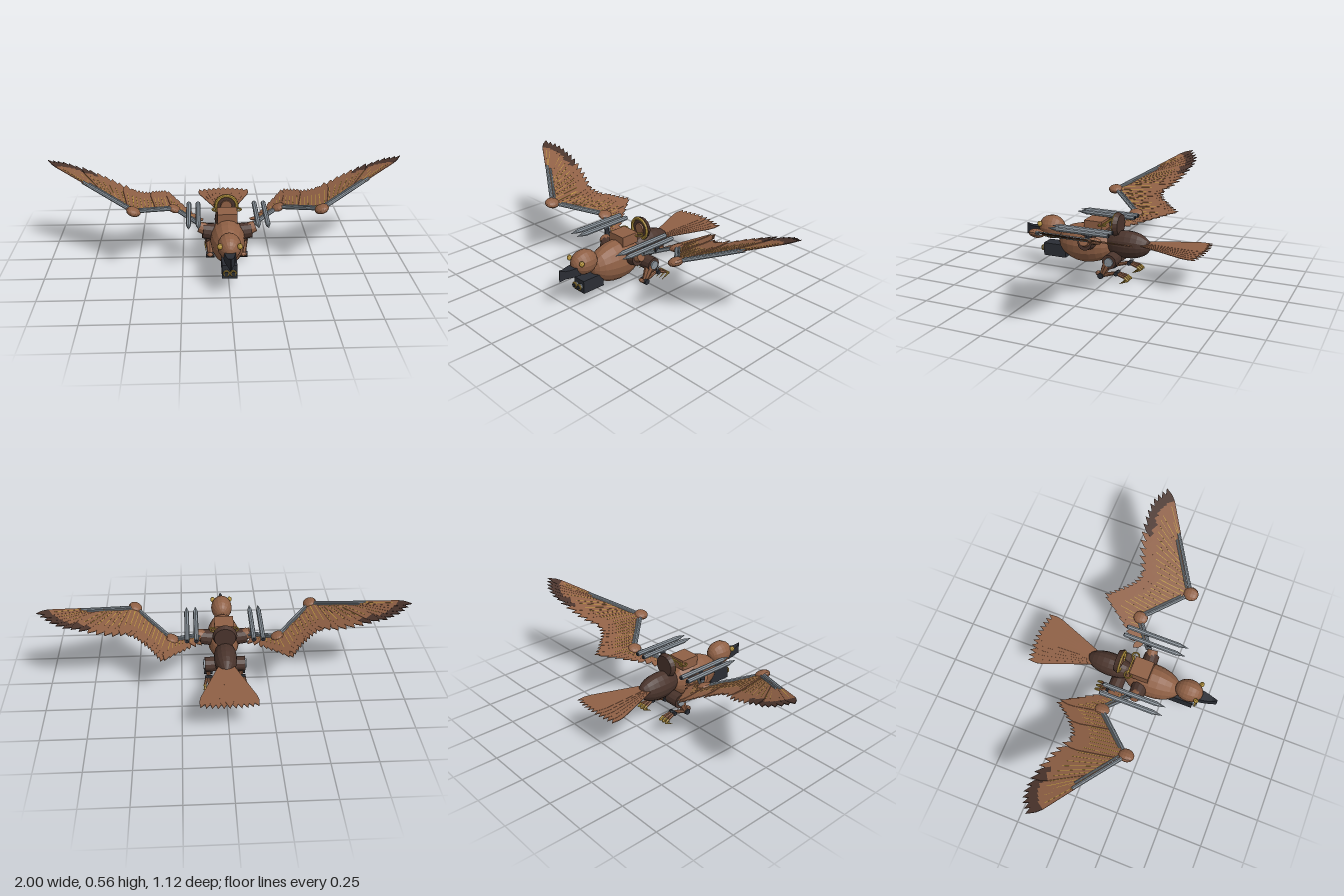
import * as THREE from 'three';

const mat = (name, color, double) => {
  const m = new THREE.MeshStandardMaterial({ color, flatShading: true });
  m.name = name;
  if (double) m.side = THREE.DoubleSide;
  return m;
};
const brown = mat('brown', 0x8f6045);
const dark = mat('dark brown', 0x4a342c);
const black = mat('gunmetal', 0x2a2d34);
const steel = mat('steel', 0x8b949c);
const gold = mat('brass', 0xb8963e);
const V = (x, y, z) => new THREE.Vector3(x, y, z);

function add(parent, name, geo, material, x = 0, y = 0, z = 0) {
  const m = new THREE.Mesh(geo, material);
  m.name = name;
  m.position.set(x, y, z);
  parent.add(m);
  return m;
}

// Faceted ellipsoid with its poles along z
function blob(parent, name, material, p, r, w = 16, h = 12) {
  const g = new THREE.SphereGeometry(1, w, h).rotateX(Math.PI / 2).scale(...r);
  return add(parent, name, g, material, ...p);
}

// Tapered rod from a to b
function rod(parent, name, material, a, b, ra, rb = ra, sides = 8) {
  const d = b.clone().sub(a);
  const m = add(parent, name, new THREE.CylinderGeometry(rb, ra, d.length(), sides), material);
  m.position.copy(a).addScaledVector(d, 0.5);
  m.quaternion.setFromUnitVectors(V(0, 1, 0), d.normalize());
  return m;
}

// Flat feather plate lying in the xz plane, pointing to -z
function plate(points, depth) {
  const g = new THREE.ExtrudeGeometry(new THREE.Shape(points.map(([x, y]) => new THREE.Vector2(x, y))),
    { depth, bevelEnabled: false });
  return g.rotateX(-Math.PI / 2);
}

function feather(parent, a, b, w, darkTip, quill = true) {
  const f = new THREE.Group();
  f.name = 'feather';
  const L = a.distanceTo(b), h = w / 2, k = L - Math.min(0.085, L * 0.4), t = 0.004;
  add(f, 'vane', plate([[-h * 0.5, 0], [h * 0.5, 0], [h, k], [-h, k]], t), brown);
  add(f, 'featherTip', plate([[-h, k], [h, k], [h * 0.8, k + (L - k) * 0.45], [0, L], [-h * 0.8, k + (L - k) * 0.45]], t),
    darkTip ? dark : brown);
  if (quill) add(f, 'quill', new THREE.BoxGeometry(0.003, 0.006, k * 0.85), gold, 0, 0.002, -k * 0.45);
  f.position.copy(a);
  f.rotation.y = Math.atan2(a.x - b.x, a.z - b.z);
  parent.add(f);
}

// Feathers with roots between two points and tips along a curve
function fan(parent, n, r0, r1, tips, w, darkCount) {
  const curve = new THREE.CatmullRomCurve3(tips);
  for (let i = 0; i < n; i++) {
    const t = i / (n - 1), y = -0.001 * (i % 6);
    const a = r0.clone().lerp(r1, t), b = curve.getPoint(t);
    a.y = b.y = y;
    feather(parent, a, b, w, i < darkCount);
  }
}

function buildWing(s) {
  // Built flat, then raised by its dihedral angle
  const wing = new THREE.Group();
  wing.name = s > 0 ? 'leftWing' : 'rightWing';
  wing.position.y = 0.19;
  wing.rotation.z = s * 0.35;
  const P = (x, z, y = 0) => V(s * x / 0.94, y, z);
  const shoulder = P(0.13, 0.115), elbow = P(0.295, -0.015), wrist = P(0.505, 0.21), tip = P(0.79, 0.025);
  [[shoulder, elbow], [elbow, wrist], [wrist, tip]].forEach(([a, b]) => {
    rod(wing, 'wingBone', steel, a, b, 0.011, 0.01);
    const o = V(0, 0.004, -0.022);
    rod(wing, 'wingPiston', steel, a.clone().lerp(b, 0.08).add(o), b.clone().lerp(a, 0.12).add(o), 0.006);
  });
  blob(wing, 'elbowJoint', brown, elbow.toArray(), [0.038, 0.02, 0.042], 12, 8);
  blob(wing, 'wristJoint', brown, wrist.toArray(), [0.04, 0.024, 0.043], 12, 8);
  fan(wing, 14, P(0.78, 0.03), P(0.505, 0.19),
    [P(1.0, -0.13), P(0.92, -0.185), P(0.8, -0.19), P(0.66, -0.165), P(0.53, -0.11)], 0.05, 8);
  fan(wing, 11, P(0.5, 0.19), P(0.31, -0.01),
    [P(0.54, -0.1), P(0.47, -0.13), P(0.41, -0.19), P(0.355, -0.26)], 0.045, 0);
  fan(wing, 8, P(0.3, -0.01), P(0.2, 0.06),
    [P(0.335, -0.25), P(0.27, -0.16), P(0.21, -0.08), P(0.13, 0.0)], 0.042, 0);
  return wing;
}

function buildLeg(s) {
  const leg = new THREE.Group();
  leg.name = s > 0 ? 'leftLeg' : 'rightLeg';
  const x = s * 0.095;
  rod(leg, 'hip', dark, V(s * 0.03, 0.12, -0.02), V(s * 0.115, 0.12, -0.02), 0.042, 0.042, 12);
  rod(leg, 'hipCap', steel, V(s * 0.11, 0.12, -0.02), V(s * 0.124, 0.12, -0.02), 0.026, 0.026, 12);
  rod(leg, 'thigh', brown, V(x, 0.115, -0.01), V(x, 0.035, 0.03), 0.03, 0.016);
  rod(leg, 'knee', black, V(x - 0.024, 0.03, 0.033), V(x + 0.024, 0.03, 0.033), 0.017, 0.017, 10);
  blob(leg, 'kneeCap', brown, [x, 0.04, 0.055], [0.02, 0.013, 0.013], 8, 6);
  rod(leg, 'shank', brown, V(x, 0.03, 0.03), V(x, 0.057, -0.06), 0.013, 0.01);
  rod(leg, 'ankle', black, V(x - 0.022, 0.056, -0.062), V(x + 0.022, 0.056, -0.062), 0.013, 0.013, 8);
  for (const i of [-1, 0, 1]) {
    const q = V(x + i * 0.022, 0.043, -0.115);
    rod(leg, 'toe', brown, V(x + i * 0.012, 0.056, -0.06), q, 0.008, 0.008, 6);
    rod(leg, 'talon', gold, q, V(x + i * 0.025, 0.028, -0.14), 0.009, 0.006, 6);
    rod(leg, 'talonPoint', gold, V(x + i * 0.025, 0.03, -0.138), V(x + i * 0.023, 0.003, -0.085), 0.007, 0.001, 6);
  }
  rod(leg, 'spur', steel, V(x, 0.058, -0.065), V(x, 0.08, -0.085), 0.006, 0.001, 6);
  return leg;
}

export function createModel() {
  const bird = new THREE.Group();
  bird.name = 'mechanicalBird';

  // Body and head
  blob(bird, 'chest', brown, [0, 0.18, 0.17], [0.095, 0.116, 0.172]);
  blob(bird, 'abdomen', dark, [0, 0.2, -0.085], [0.065, 0.08, 0.14]);
  blob(bird, 'head', brown, [0, 0.246, 0.392], [0.063, 0.07, 0.08]);

  // Beak: narrows to a tall cutting edge
  const beak = new THREE.BoxGeometry(2, 2, 1, 1, 1, 4), bp = beak.attributes.position;
  const halfW = [0.032, 0.028, 0.022, 0.014, 0.002], halfH = [0.024, 0.024, 0.023, 0.023, 0.034];
  const stations = [0.44, 0.475, 0.505, 0.53, 0.56];
  for (let i = 0; i < bp.count; i++) {
    const k = Math.round((bp.getZ(i) + 0.5) * 4);
    bp.setXYZ(i, bp.getX(i) * halfW[k], 0.218 + bp.getY(i) * halfH[k], stations[k]);
  }
  beak.computeVertexNormals();
  add(bird, 'beak', beak, black);

  // Twin gun under the chin
  add(bird, 'gunHousing', new THREE.BoxGeometry(0.08, 0.075, 0.14), black, 0, 0.116, 0.36);

  // Back hatch with strap, and round dish behind it
  add(bird, 'hatch', new THREE.BoxGeometry(0.11, 0.06, 0.11), brown, 0, 0.298, 0.105);
  add(bird, 'hatchStrap', new THREE.BoxGeometry(0.12, 0.008, 0.008), gold, 0, 0.315, 0.04);
  rod(bird, 'dish', dark, V(0, 0.31, -0.045), V(0, 0.31, -0.02), 0.06, 0.07, 20);
  add(bird, 'dishRim', new THREE.TorusGeometry(0.059, 0.009, 6, 24), gold, 0, 0.31, -0.017);
  rod(bird, 'dishHub', brown, V(0, 0.31, -0.03), V(0, 0.31, -0.012), 0.035, 0.03, 16);

  for (const s of [1, -1]) {
    bird.add(buildWing(s), buildLeg(s));
    blob(bird, 'eye', gold, [s * 0.052, 0.27, 0.448], [0.014, 0.017, 0.014], 10, 8);
    rod(bird, 'gunBarrel', steel, V(s * 0.018, 0.116, 0.42), V(s * 0.018, 0.116, 0.445), 0.014, 0.014, 10);
    rod(bird, 'gunMuzzle', black, V(s * 0.018, 0.116, 0.44), V(s * 0.018, 0.116, 0.455), 0.011, 0.011, 10);
    add(bird, 'muzzleRing', new THREE.TorusGeometry(0.014, 0.005, 6, 14), gold, s * 0.018, 0.116, 0.445);
    add(bird, 'hatchRing', new THREE.TorusGeometry(0.02, 0.005, 6, 16).rotateX(Math.PI / 2), gold, s * 0.06, 0.312, 0.045);

    // Shoulder socket
    rod(bird, 'shoulderSocket', dark, V(s * 0.06, 0.21, 0.12), V(s * 0.135, 0.22, 0.12), 0.047, 0.043, 12);
    rod(bird, 'shoulderCap', brown, V(s * 0.1, 0.22, 0.12), V(s * 0.155, 0.24, 0.115), 0.038, 0.03, 12);

    // Missiles on pylons
    for (const x of [0.16, 0.212]) {
      rod(bird, 'missileBody', steel, V(s * x, 0.308, 0.06 - 0.12), V(s * x, 0.308, 0.25), 0.014);
      rod(bird, 'missileNose', steel, V(s * x, 0.308, 0.25), V(s * x, 0.308, 0.305), 0.014, 0.001);
      rod(bird, 'missileNozzle', black, V(s * x, 0.308, -0.066), V(s * x, 0.308, -0.058), 0.01);
      const wingY = 0.19 + 0.365 * x;
      add(bird, 'missilePylon', new THREE.BoxGeometry(0.007, 0.305 - wingY, 0.03), black,
        s * x, (0.305 + wingY) / 2, 0.2 - 0.7 * x);
    }
  }

  // Tail fan
  const tail = new THREE.Group();
  tail.name = 'tail';
  tail.position.y = 0.213;
  for (let i = -5; i <= 5; i++) {
    const a = i * 0.062, y = 0.0012 * (5 - Math.abs(i));
    const L = 0.415;
    feather(tail, V(i * 0.003, y, -0.14), V(Math.sin(a) * L * 1.2, y, -0.14 - Math.cos(a) * L), 0.05, false, false);
  }
  bird.add(tail);
  return bird;
}
